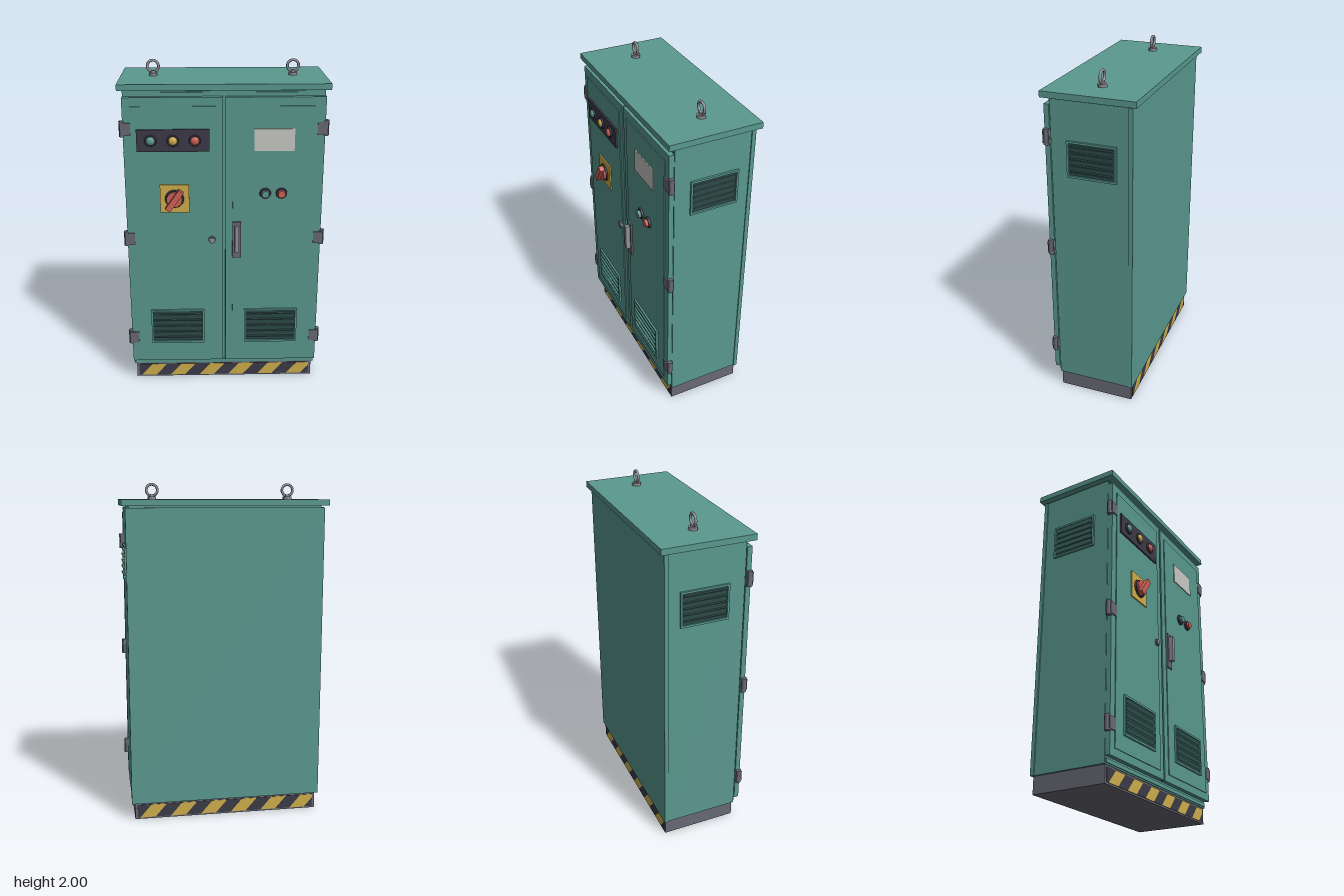
import * as THREE from 'three';

const mat = (name, color) => {
  const m = new THREE.MeshStandardMaterial({ color });
  m.name = name;
  return m;
};

export function createModel() {
  const teal = mat('teal paint', 0x5a998f);
  const darkTeal = mat('vent shadow', 0x2c4a47);
  const charcoal = mat('charcoal', 0x3c3b48);
  const grey = mat('plinth grey', 0x696975);
  const steel = mat('steel', 0x92929a);
  const yellow = mat('yellow', 0xcfae4c);
  const red = mat('red', 0xcf6257);
  const plate = mat('label grey', 0xc9c9c4);

  const model = new THREE.Group();
  model.name = 'electricalCabinet';

  const add = (name, geo, material, parent = model) => {
    const m = new THREE.Mesh(geo, material);
    m.name = name;
    parent.add(m);
    return m;
  };
  // Box given by its extents on each axis
  const box = (name, x0, x1, y0, y1, z0, z1, material, parent) => {
    const m = add(name, new THREE.BoxGeometry(x1 - x0, y1 - y0, z1 - z0), material, parent);
    m.position.set((x0 + x1) / 2, (y0 + y1) / 2, (z0 + z1) / 2);
    return m;
  };
  // Disc or stub pointing forward, from z0 to z1
  const disc = (name, x, y, z0, z1, r0, r1, material, sides = 20) => {
    const g = new THREE.CylinderGeometry(r1, r0, z1 - z0, sides).rotateX(Math.PI / 2);
    const m = add(name, g, material);
    m.position.set(x, y, (z0 + z1) / 2);
    return m;
  };

  // Housing
  box('plinth', -0.56, 0.56, 0, 0.1, -0.26, 0.195, grey);
  box('body', -0.573, 0.573, 0.1, 1.86, -0.246, 0.2, teal);
  box('backPanel', -0.579, 0.579, 0.1, 1.86, -0.27, -0.246, teal);
  box('roofNeck', -0.56, 0.56, 1.86, 1.87, -0.26, 0.19, teal);
  box('roof', -0.6, 0.6, 1.87, 1.905, -0.295, 0.245, teal);
  box('topRail', -0.565, 0.565, 1.838, 1.853, 0.2, 0.206, teal);
  box('bottomRail', -0.565, 0.565, 0.108, 0.13, 0.2, 0.206, teal);

  // Hazard stripes on the front and back of the plinth
  for (const back of [false, true]) {
    const band = new THREE.Group();
    band.name = back ? 'backHazardBand' : 'frontHazardBand';
    band.position.z = back ? -0.26 : 0.195;
    band.rotation.y = back ? Math.PI : 0;
    model.add(band);
    box('hazardBase', -0.545, 0.545, 0.01, 0.09, 0, 0.003, charcoal, band);
    const lim = 0.545;
    for (let i = 0; i < 6; i++) {
      const x = -0.53 + 0.186 * i;
      const s = new THREE.Shape();
      s.moveTo(x, 0.01);
      s.lineTo(x + 0.093, 0.01);
      if (x + 0.163 > lim) {
        s.lineTo(lim, 0.01 + 0.08 * (lim - x - 0.093) / 0.07);
        s.lineTo(lim, 0.09);
      } else s.lineTo(x + 0.163, 0.09);
      s.lineTo(x + 0.07, 0.09);
      add('hazardStripe', new THREE.ShapeGeometry(s), yellow, band).position.z = 0.0045;
    }
  }

  // Louvred vent built facing +z, centred on its own origin
  const vent = (name, w, h) => {
    const g = new THREE.Group();
    g.name = name;
    const s = new THREE.Shape();
    const rect = (p, a, b) => {
      p.moveTo(-a, -b);
      p.lineTo(a, -b);
      p.lineTo(a, b);
      p.lineTo(-a, b);
      p.closePath();
    };
    rect(s, w / 2, h / 2);
    const hole = new THREE.Path();
    rect(hole, w / 2 - 0.012, h / 2 - 0.012);
    s.holes.push(hole);
    add('ventFrame', new THREE.ExtrudeGeometry(s, { depth: 0.012, bevelEnabled: false }), teal, g);
    box('ventBacking', -w / 2 + 0.01, w / 2 - 0.01, -h / 2 + 0.01, h / 2 - 0.01, 0, 0.002, darkTeal, g);
    const pitch = (h - 0.03) / 5;
    for (let i = 0; i < 5; i++) {
      const slat = add('ventSlat', new THREE.BoxGeometry(w - 0.03, 0.005, 0.024), teal, g);
      slat.position.set(0, (i - 2) * pitch + 0.006, 0.01);
      slat.rotation.x = -0.65;
    }
    model.add(g);
    return g;
  };

  // Doors, hinges and vents, mirrored
  for (const s of [-1, 1]) {
    const side = s > 0 ? 'left' : 'right';
    const mbox = (name, a, b, ...rest) => box(name, Math.min(s * a, s * b), Math.max(s * a, s * b), ...rest);
    mbox(side + 'Door', 0.007, 0.576, 0.14, 1.83, 0.204, 0.233, teal);
    mbox(side + 'DoorRaisedPanel', 0.05, 0.532, 0.185, 1.78, 0.233, 0.238, teal);
    for (const y of [0.312, 0.98, 1.65]) {
      mbox(side + 'HingePlate', 0.532, 0.59, y - 0.036, y + 0.036, 0.205, 0.241, grey);
      const pin = add(side + 'HingeKnuckle', new THREE.CylinderGeometry(0.017, 0.017, 0.09, 12), grey);
      pin.position.set(s * 0.581, y, 0.222);
    }
    vent(side + 'DoorVent', 0.328, 0.23).position.set(s * 0.288, 0.39, 0.238);
    const sv = vent(side + 'SideVent', 0.286, 0.21);
    sv.position.set(s * 0.573, 1.535, -0.036);
    sv.rotation.y = s * Math.PI / 2;

    // Lifting eye
    const x = s * 0.41;
    const base = add('liftingEyeBase', new THREE.CylinderGeometry(0.028, 0.028, 0.016, 6), steel);
    base.position.set(x, 1.913, -0.035);
    const neck = add('liftingEyeNeck', new THREE.CylinderGeometry(0.013, 0.015, 0.016, 12), steel);
    neck.position.set(x, 1.926, -0.035);
    const ring = add('liftingEyeRing', new THREE.TorusGeometry(0.033, 0.008, 8, 24), steel);
    ring.position.set(x, 1.959, -0.035);
  }

  // Indicator lamps
  box('lampPanel', -0.5, -0.085, 1.52, 1.65, 0.236, 0.248, charcoal);
  [[-0.42, teal], [-0.293, yellow], [-0.168, red]].forEach(([x, m]) => {
    disc('lampBezel', x, 1.585, 0.248, 0.256, 0.035, 0.032, charcoal);
    const dome = new THREE.SphereGeometry(0.025, 18, 6, 0, Math.PI * 2, 0, Math.PI / 2);
    dome.rotateX(Math.PI / 2).scale(1, 1, 0.6);
    add('lampLens', dome, m).position.set(x, 1.585, 0.256);
  });

  // Main rotary switch
  box('switchPlate', -0.375, -0.205, 1.15, 1.32, 0.236, 0.246, yellow);
  disc('switchCollar', -0.291, 1.235, 0.246, 0.256, 0.056, 0.052, charcoal);
  disc('switchKnob', -0.291, 1.235, 0.256, 0.27, 0.046, 0.046, red);
  const bar = add('switchHandle', new THREE.BoxGeometry(0.14, 0.034, 0.03), red);
  bar.position.set(-0.291, 1.235, 0.28);
  bar.rotation.z = 0.96;

  // Label plate and push buttons
  box('labelPlate', 0.172, 0.403, 1.52, 1.65, 0.237, 0.244, plate);
  [[0.24, teal], [0.335, red]].forEach(([x, m]) => {
    disc('buttonBezel', x, 1.262, 0.237, 0.25, 0.034, 0.031, charcoal);
    disc('buttonCap', x, 1.262, 0.25, 0.266, 0.023, 0.021, m);
  });

  // Door handle and lock
  box('handlePlate', 0.048, 0.1, 0.857, 1.085, 0.237, 0.248, grey);
  box('handleGrip', 0.062, 0.086, 0.9, 1.065, 0.248, 0.275, steel);
  disc('lockRim', -0.073, 0.972, 0.237, 0.248, 0.022, 0.021, grey);
  disc('lockCore', -0.073, 0.972, 0.248, 0.251, 0.014, 0.014, steel);

  return model;
}
